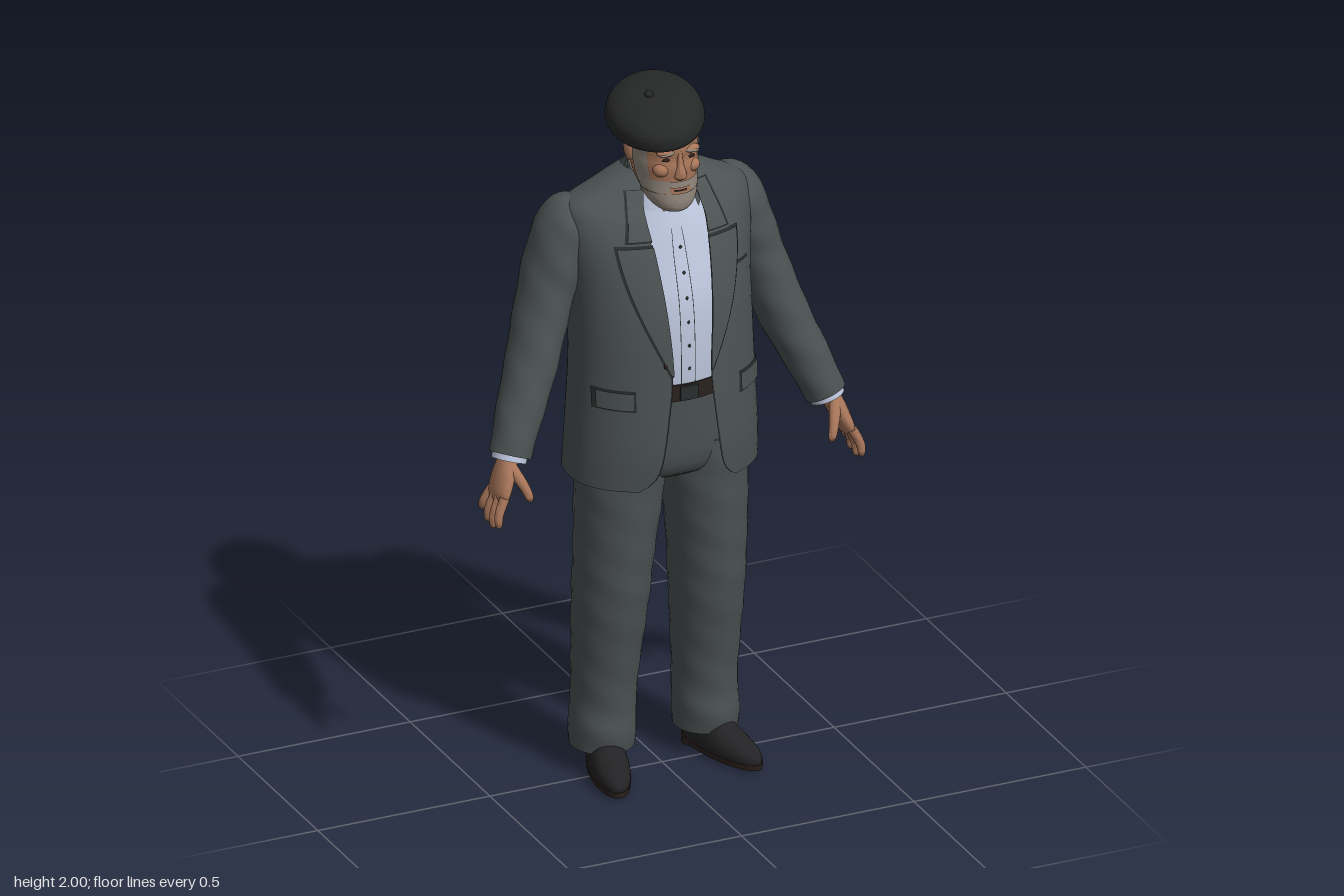
import * as THREE from 'three';
import { toCreasedNormals } from 'three/addons/utils/BufferGeometryUtils.js';

const mat = (name, color, side = THREE.FrontSide) => {
  const m = new THREE.MeshStandardMaterial({ color, side });
  m.name = name;
  return m;
};

// Catmull-Rom interpolation of a list of number rows
function smooth(S, k = 5) {
  const out = [];
  for (let i = 0; i < S.length - 1; i++) {
    const [a, b, c, d] = [S[Math.max(i - 1, 0)], S[i], S[i + 1], S[Math.min(i + 2, S.length - 1)]];
    for (let s = 0; s < k; s++) {
      const t = s / k;
      out.push(b.map((_, j) => 0.5 * (2 * b[j] + (c[j] - a[j]) * t
        + (2 * a[j] - 5 * b[j] + 4 * c[j] - d[j]) * t * t + (3 * b[j] - a[j] - 3 * c[j] + d[j]) * t * t * t)));
    }
  }
  out.push(S[S.length - 1]);
  return out;
}

// Linear lookup of a row by the value in one column
function at(rows, y, key) {
  let i = 0;
  while (i < rows.length - 2 && rows[i + 1][key] < y) i++;
  const t = THREE.MathUtils.clamp((y - rows[i][key]) / (rows[i + 1][key] - rows[i][key]), 0, 1);
  return rows[i].map((v, j) => v + (rows[i + 1][j] - v) * t);
}

// Grid of points into triangles; closed grids wrap round and get end caps
function gridGeometry(grid, closed) {
  const pos = grid.flat().flatMap(p => [p.x, p.y, p.z]), idx = [];
  const n = grid[0].length, last = grid.length - 1;
  for (let i = 0; i < last; i++)
    for (let j = 0; j < (closed ? n : n - 1); j++) {
      const a = i * n + j, b = i * n + (j + 1) % n;
      idx.push(a, b, a + n, b, b + n, a + n);
    }
  if (closed) for (const r of [0, last]) {
    const c = grid[r].reduce((s, p) => s.add(p), new THREE.Vector3()).divideScalar(n);
    const ci = pos.push(c.x, c.y, c.z) / 3 - 1;
    for (let j = 0; j < n; j++) {
      const a = r * n + j, b = r * n + (j + 1) % n;
      idx.push(ci, r ? a : b, r ? b : a);
    }
  }
  const g = new THREE.BufferGeometry();
  g.setAttribute('position', new THREE.Float32BufferAttribute(pos, 3));
  g.setIndex(idx);
  return toCreasedNormals(g, 1.0);
}

// Loft through rows [x, y, z, rx, rz] from bottom to top; angle 0 is the front
function loft(rows, { n = 28, span = null, follow = false, tilt = 0, back = 2, grow = 0, fold = 0 } = {}) {
  const grid = rows.map((r, i) => {
    const c = new THREE.Vector3(r[0], r[1], r[2]);
    let t = new THREE.Vector3(0, 1, 0);
    if (follow) {
      const p = rows[Math.max(i - 1, 0)], q = rows[Math.min(i + 1, rows.length - 1)];
      t.set(q[0] - p[0], q[1] - p[1], q[2] - p[2]).normalize();
    }
    const v = new THREE.Vector3(0, 0, 1).addScaledVector(t, -t.z).normalize();
    const u = new THREE.Vector3().crossVectors(t, v);
    const [a0, a1] = span ? span(r) : [0, Math.PI * 2];
    return Array.from({ length: span ? n + 1 : n }, (_, j) => {
      const a = a0 + (a1 - a0) * j / n, s = Math.sin(a), k = Math.cos(a), e = k < 0 ? 2 / back : 1;
      const f = 1 + fold * Math.sin(r[1] * 55 + 2.5 * Math.sin(a) + 2 * k);
      const dx = Math.sign(s) * Math.abs(s) ** e * (r[3] + grow) * f;
      const dz = Math.sign(k) * Math.abs(k) ** e * (r[4] + grow) * f;
      const p = c.clone().addScaledVector(u, dx).addScaledVector(v, dz);
      p.y -= tilt * dz;
      return p;
    });
  });
  return gridGeometry(grid, !span);
}

export function createModel() {
  const D = THREE.DoubleSide, root = new THREE.Group();
  root.name = 'oldManInSuit';
  const suit = mat('suitGrey', 0x4c5252, D), seam = mat('seamDark', 0x2a2e2e, D), shirt = mat('shirtBlue', 0xbcc5dc, D);
  const skin = mat('skin', 0xa8765a), hair = mat('shortHair', 0xb0a39c, D), beard = mat('beardGrey', 0x94897f, D);
  const black = mat('beretBlack', 0x262727), shoe = mat('shoeBlack', 0x232325), dark = mat('darkBrown', 0x2b211d, D);
  const add = (name, geo, m, parent = root) => {
    const mesh = new THREE.Mesh(geo, m);
    mesh.name = name;
    parent.add(mesh);
    return mesh;
  };
  const blob = (name, m, x, y, z, sx, sy, sz) => {
    const b = add(name, new THREE.SphereGeometry(1, 16, 12), m);
    b.position.set(x, y, z);
    b.scale.set(sx, sy, sz);
    return b;
  };

  // Jacket body: open shell whose front edges part by w at each height
  const body = smooth([
    [0, 0.885, 0, 0.265, 0.19], [0, 1.0, 0.007, 0.26, 0.193], [0, 1.2, 0.007, 0.25, 0.186],
    [0, 1.35, -0.003, 0.248, 0.186], [0, 1.45, -0.018, 0.252, 0.182], [0, 1.55, -0.03, 0.262, 0.16],
    [0, 1.62, -0.037, 0.262, 0.13], [0, 1.66, -0.045, 0.25, 0.105], [0, 1.69, -0.047, 0.19, 0.09],
    [0, 1.715, -0.05, 0.14, 0.075], [0, 1.74, -0.05, 0.09, 0.06]], 6);
  const gap = smooth([[0.885, 0.14], [0.91, 0.108], [0.96, 0.086], [1.1, 0.066], [1.22, 0.056],
    [1.4, 0.068], [1.55, 0.08], [1.65, 0.085], [1.74, 0.06]]);
  const w = y => at(gap, y, 0)[1];
  add('jacketBody', loft(body, { n: 56, back: 2.7, span: r => {
    const a = Math.asin(Math.min(1, w(r[1]) / r[3]));
    return [a, Math.PI * 2 - a];
  } }), suit);

  // Thin cloth piece laid on the jacket between two x rules
  const patch = (name, m, y0, y1, inner, outer, off, side = 1) => {
    const grid = Array.from({ length: 17 }, (_, i) => {
      const y = y0 + (y1 - y0) * i / 16, r = at(body, y, 1), e = side > 0 ? 2 : 2.7;
      return Array.from({ length: 9 }, (_, j) => {
        const x = inner(y) + (outer(y) - inner(y)) * j / 8;
        const z = (r[4] + off) * Math.max(0, 1 - (Math.abs(x) / (r[3] + off)) ** e) ** (1 / e);
        return new THREE.Vector3(x, y, r[2] + side * z);
      });
    });
    add(name, gridGeometry(grid, false), m);
  };
  const lerp = THREE.MathUtils.mapLinear;
  for (const s of [1, -1]) {
    const side = s > 0 ? 'left' : 'right';
    const lapel = y => 0.06 + 0.115 * Math.sin(lerp(y, 1.22, 1.575, 0, 1.45));
    const collar = y => lerp(y, 1.585, 1.7, 0.145, 0.115);
    for (const [tag, m, g, off] of [['Edge', seam, 0.005, 0.003], ['', suit, 0, 0.008]]) {
      patch(side + 'Lapel' + tag, m, 1.22 - g, 1.57 + g, y => s * (w(y) - 0.002), y => s * (lapel(y) + g), off);
      patch(side + 'CollarFall' + tag, m, 1.585 - g, 1.7, y => s * (w(y) - 0.002), y => s * (collar(y) + g), off);
      patch(side + 'PocketFlap' + tag, m, 1.125 - g, 1.175 + g, () => s * (0.155 - g), () => s * (0.235 + g), off);
    }
    patch(side + 'FrontEdge', seam, 0.9, 1.22, y => s * w(y), y => s * (w(y) + 0.004), 0.002);
  }
  patch('breastPocket', seam, 1.475, 1.483, () => 0.12, () => 0.205, 0.003);
  patch('backSeam', seam, 0.89, 1.68, () => -0.002, () => 0.002, 0.002, -1);
  blob('jacketButton', dark, -0.072, 1.25, 0.186, 0.009, 0.009, 0.005);
  add('jacketCollar', loft(smooth([[0, 1.66, -0.018, 0.112, 0.098], [0, 1.71, -0.025, 0.092, 0.082],
    [0, 1.73, -0.025, 0.082, 0.072]]), { span: () => [0.85, Math.PI * 2 - 0.85], tilt: 0.5 }), suit);

  // Shirt, collar, placket and belt
  const shirtRows = smooth([[0, 1.13, 0, 0.19, 0.162], [0, 1.25, 0, 0.2, 0.165], [0, 1.4, -0.01, 0.2, 0.163],
    [0, 1.53, -0.03, 0.18, 0.143], [0, 1.6, -0.035, 0.14, 0.125], [0, 1.645, -0.035, 0.1, 0.108]]);
  add('shirtFront', loft(shirtRows, { span: () => [-1.5, 1.5] }), shirt);
  add('shirtCollar', loft(smooth([[0, 1.665, -0.008, 0.088, 0.086], [0, 1.715, -0.014, 0.074, 0.071],
    [0, 1.735, -0.014, 0.071, 0.068]]), { span: () => [0.34, Math.PI * 2 - 0.34], tilt: 0.5 }), shirt);
  for (let i = 0; i < 6; i++) {
    const y = 1.22 + i * 0.066, r = at(shirtRows, y, 1);
    blob('shirtButton', seam, 0.004, y, r[2] + r[4], 0.004, 0.005, 0.003);
  }
  for (const a of [-0.1, 0.1]) add('placketSeam', loft(shirtRows.filter(r => r[1] < 1.61),
    { n: 1, grow: 0.0015, span: () => [a - 0.005, a + 0.005] }), seam);
  add('belt', loft([[0, 1.13, 0, 0.21, 0.168], [0, 1.178, 0, 0.21, 0.168]]), dark);
  add('beltBuckle', new THREE.BoxGeometry(0.05, 0.04, 0.008), seam).position.set(0, 1.154, 0.17);
  add('trouserHips', loft(smooth([[0, 0.875, -0.01, 0.19, 0.1], [0, 0.93, -0.005, 0.225, 0.145],
    [0, 1.14, 0, 0.21, 0.16]])), suit);

  for (const s of [1, -1]) {
    const side = s > 0 ? 'left' : 'right';
    const limb = (name, rows, m, opt) => add(side + name, loft(smooth(rows.map(r => [r[0] * s, ...r.slice(1)])), opt), m);
    // Trouser leg
    limb('TrouserLeg', [[0.15, 0.07, -0.053, 0.086, 0.092], [0.15, 0.13, -0.052, 0.09, 0.1],
      [0.147, 0.2, -0.052, 0.086, 0.098], [0.145, 0.32, -0.043, 0.09, 0.105], [0.14, 0.5, -0.025, 0.099, 0.122],
      [0.134, 0.66, -0.013, 0.105, 0.129], [0.122, 0.85, -0.006, 0.117, 0.139], [0.118, 0.98, -0.003, 0.118, 0.145]],
      suit, { fold: 0.012 });
    // Sleeve with a thin shirt cuff
    limb('Sleeve', [[0.458, 1.005, 0.036, 0.056, 0.058], [0.425, 1.09, 0.012, 0.061, 0.068],
      [0.366, 1.23, -0.03, 0.068, 0.082], [0.308, 1.4, -0.07, 0.072, 0.093], [0.27, 1.51, -0.08, 0.078, 0.1],
      [0.238, 1.6, -0.077, 0.074, 0.09], [0.222, 1.645, -0.07, 0.05, 0.06], [0.215, 1.665, -0.066, 0.012, 0.016]],
      suit, { follow: true, fold: 0.018 });
    limb('ShirtCuff', [[0.463, 0.992, 0.039, 0.047, 0.049], [0.45, 1.03, 0.03, 0.047, 0.049]], shirt, { follow: true });
    // Hand
    limb('Palm', [[0.506, 0.898, 0.066, 0.015, 0.046], [0.5, 0.92, 0.062, 0.021, 0.052],
      [0.484, 0.96, 0.052, 0.025, 0.047], [0.467, 1.0, 0.041, 0.026, 0.034], [0.455, 1.03, 0.033, 0.027, 0.034]],
      skin, { follow: true, n: 16 });
    for (let i = 0; i < 4; i++) {
      const z = 0.103 - i * 0.026, tip = [0.838, 0.825, 0.83, 0.85][i], sp = 0.012 - i * 0.009;
      limb('Finger' + (i + 1), [[0.526, tip, z + sp, 0.004, 0.004], [0.527, tip + 0.01, z + sp, 0.01, 0.01],
        [0.524, (tip + 0.91) / 2, z + sp * 0.6, 0.0125, 0.0125], [0.505, 0.915, z, 0.014, 0.014]],
        skin, { follow: true, n: 10 });
    }
    limb('Thumb', [[0.438, 0.9, 0.12, 0.004, 0.004], [0.44, 0.912, 0.119, 0.011, 0.011],
      [0.452, 0.945, 0.105, 0.014, 0.014], [0.472, 0.985, 0.068, 0.018, 0.018]], skin, { follow: true, n: 10 });
    // Shoe, turned outward
    const foot = new THREE.Group();
    foot.name = side + 'Shoe';
    foot.position.set(0.165 * s, 0, 0.02);
    foot.rotation.y = 0.25 * s;
    root.add(foot);
    add('sole', loft([[0, 0.008, 0.0, 0.052, 0.157], [0, 0.024, 0, 0.054, 0.159]]), dark, foot);
    add('heel', new THREE.CylinderGeometry(0.042, 0.042, 0.02, 20), dark, foot).position.set(0, 0.01, -0.105);
    add('upper', loft(smooth([[0, 0.022, 0, 0.052, 0.156], [0, 0.045, 0, 0.052, 0.15], [0, 0.068, -0.02, 0.047, 0.122],
      [0, 0.09, -0.05, 0.043, 0.085], [0, 0.13, -0.07, 0.04, 0.06]])), shoe, foot);
  }

  // Neck and head
  const hx = -0.015;
  add('neck', loft(smooth([[0, 1.6, -0.01, 0.06, 0.07], [-0.005, 1.67, 0, 0.06, 0.068], [-0.01, 1.78, 0.0, 0.065, 0.07]])), skin);
  const head = smooth([[hx, 1.668, 0.112, 0.012, 0.012], [hx, 1.676, 0.106, 0.036, 0.036], [hx, 1.695, 0.09, 0.058, 0.06],
    [hx, 1.725, 0.068, 0.073, 0.083], [hx, 1.76, 0.043, 0.081, 0.107], [hx, 1.8, 0.034, 0.087, 0.117],
    [hx, 1.825, 0.031, 0.088, 0.115], [hx, 1.85, 0.031, 0.089, 0.118], [hx, 1.89, 0.028, 0.088, 0.114],
    [hx, 1.93, 0.025, 0.07, 0.09]], 6);
  add('head', loft(head, { n: 36 }), skin);
  const onHead = (name, m, y0, y1, a0, a1, grow) =>
    add(name, loft(head.filter(r => r[1] >= y0 && r[1] <= y1), { span: () => [a0, a1], grow }), m);
  onHead('hair', hair, 1.745, 1.9, 1.8, Math.PI * 2 - 1.8, 0.003);
  onHead('beard', beard, 1.66, 1.735, -1.6, 1.6, 0.004);
  onHead('moustache', beard, 1.744, 1.768, -0.36, 0.36, 0.005);
  onHead('mouth', dark, 1.735, 1.746, -0.24, 0.24, 0.002);
  for (const s of [1, -1]) {
    const side = s > 0 ? 'left' : 'right';
    onHead(side + 'Sideburn', beard, 1.73, 1.85, s > 0 ? 0.95 : -1.5, s > 0 ? 1.5 : -0.95, 0.003);
    onHead(side + 'BeardCheek', beard, 1.73, 1.768, s > 0 ? 0.36 : -0.95, s > 0 ? 0.95 : -0.36, 0.003);
    blob(side + 'Cheek', skin, hx + s * 0.043, 1.795, 0.122, 0.024, 0.02, 0.022);
    blob(side + 'Eye', dark, hx + s * 0.034, 1.827, 0.137, 0.014, 0.005, 0.004);
    blob(side + 'BrowRidge', skin, hx + s * 0.034, 1.848, 0.133, 0.028, 0.012, 0.016);
    blob(side + 'Eyebrow', beard, hx + s * 0.035, 1.846, 0.144, 0.022, 0.005, 0.006).rotation.z = -0.15 * s;
    const ear = blob(side + 'Ear', skin, hx + s * 0.092, 1.83, 0.025, 0.011, 0.036, 0.02);
    ear.rotation.set(-0.15, -0.35 * s, 0);
  }
  add('nose', loft(smooth([[hx, 1.768, 0.143, 0.01, 0.01], [hx, 1.776, 0.146, 0.018, 0.019], [hx, 1.79, 0.146, 0.016, 0.02],
    [hx, 1.815, 0.143, 0.01, 0.014], [hx, 1.85, 0.14, 0.008, 0.01]]), { n: 16 }), skin);

  // Beret with soft folds, tipped forward and to one side
  const beret = new THREE.Group();
  beret.name = 'beret';
  beret.position.set(-0.038, 1.927, 0.035);
  beret.rotation.set(0.22, 0, 0.2);
  root.add(beret);
  add('beretCrown', loft(smooth([[0.015, -0.052, 0, 0.09, 0.112], [0.012, -0.04, 0, 0.1, 0.124], [0, -0.024, 0, 0.124, 0.147],
    [0, -0.004, 0, 0.127, 0.15], [0, 0.022, 0, 0.118, 0.139], [0, 0.043, 0, 0.091, 0.107], [0, 0.056, 0, 0.05, 0.06],
    [0, 0.06, 0, 0.004, 0.004]]), { n: 48, fold: 0.012 }), black, beret);
  add('beretStem', new THREE.SphereGeometry(0.012, 12, 8), black, beret).position.set(-0.01, 0.06, 0);
  return root;
}
